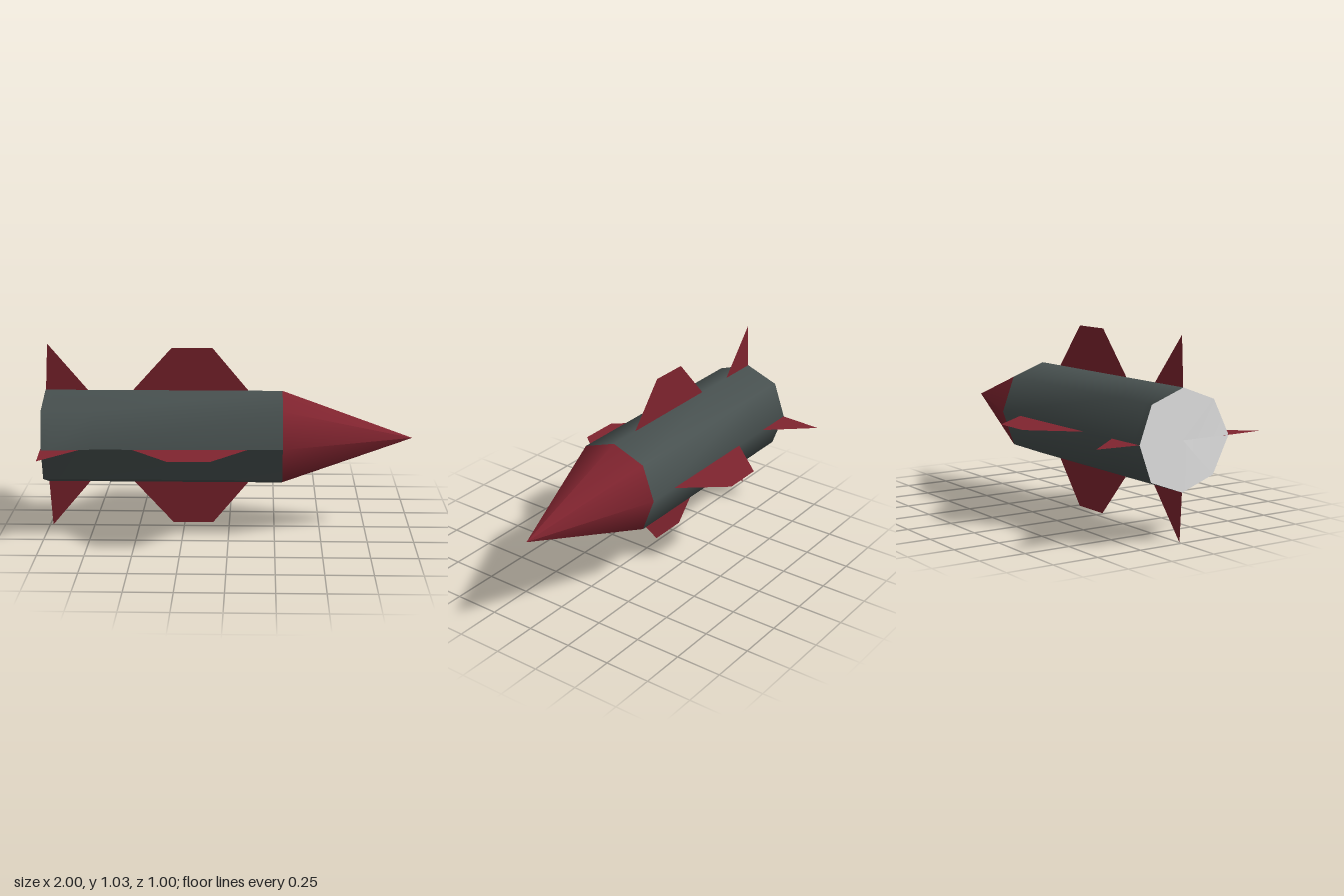
import * as THREE from 'three';

const CENTRE_Y = 0.515;
const R = 0.26;

const grey = new THREE.MeshStandardMaterial({ color: 0x485150 });
grey.name = 'hullGrey';
const red = new THREE.MeshStandardMaterial({ color: 0x80242f });
red.name = 'trimRed';
red.side = THREE.DoubleSide;
const white = new THREE.MeshStandardMaterial({ color: 0xe6e6e6 });
white.name = 'exhaustWhite';

// Eight-sided ring; corner 0 is the top, corner 2 faces +z. bulge pushes corner 2 outwards.
function corner(ring, k) {
  const a = (k * Math.PI) / 4;
  const r = ring.r * (k % 2 ? 1.035 : 1);
  const side = k % 8 === 2;
  return [
    ring.x + (side ? ring.shift || 0 : 0),
    r * Math.cos(a),
    r * Math.sin(a) + (side ? ring.bulge || 0 : 0),
  ];
}

// Smooth skin over rings, from one corner number to another
function loft(rings, from = 0, to = 8) {
  const n = to - from + 1;
  const pos = [];
  const index = [];
  rings.forEach((ring, i) => {
    for (let k = 0; k < n; k++) {
      pos.push(...corner(ring, from + k));
      if (i < rings.length - 1 && k < n - 1) {
        const a = i * n + k;
        if (ring.r > 0) index.push(a, a + 1, a + n);
        if (rings[i + 1].r > 0) index.push(a + 1, a + n + 1, a + n);
      }
    }
  });
  const g = new THREE.BufferGeometry();
  g.setAttribute('position', new THREE.Float32BufferAttribute(pos, 3));
  g.setIndex(index);
  g.computeVertexNormals();
  // Match the normals along the seam of a closed skin
  if (to - from === 8) {
    const nor = g.attributes.normal;
    const v = new THREE.Vector3();
    const w = new THREE.Vector3();
    for (let i = 0; i < rings.length; i++) {
      v.fromBufferAttribute(nor, i * n);
      w.fromBufferAttribute(nor, i * n + 8);
      v.add(w).normalize();
      nor.setXYZ(i * n, v.x, v.y, v.z);
      nor.setXYZ(i * n + 8, v.x, v.y, v.z);
    }
  }
  return g;
}

function add(parent, name, geometry, material) {
  const mesh = new THREE.Mesh(geometry, material);
  mesh.name = name;
  parent.add(mesh);
  return mesh;
}

// Thin flat fin drawn in the xy plane
function finGeometry(points) {
  return new THREE.ShapeGeometry(new THREE.Shape(points.map(([x, y]) => new THREE.Vector2(x, y))));
}

export function createModel() {
  const model = new THREE.Group();
  model.name = 'rocket';
  const rocket = new THREE.Group();
  rocket.name = 'rocketBody';
  rocket.position.y = CENTRE_Y;
  model.add(rocket);

  // Hull: smooth around the top and back, crisp panels low on the +z side
  const tail = { x: -1, r: R, bulge: 0.035, shift: 0.01 };
  const hull = [
    tail,
    { x: -0.95, r: R, bulge: 0.04 },
    { x: -0.72, r: R, bulge: 0.015 },
    { x: 0.29, r: R },
  ];
  add(rocket, 'hull', loft(hull, 4, 10), grey);
  add(rocket, 'sidePanel', loft(hull, 2, 3), grey);
  add(rocket, 'lowerPanel', loft(hull, 3, 4), grey);

  // Nose cone and rear exhaust plate
  add(rocket, 'noseCone', loft([{ x: 0.29, r: R }, { x: 1, r: 0 }]), red);
  add(rocket, 'exhaustPlate', loft([{ x: -1, r: 0 }, tail]), white);

  // Four middle wings and four swept tail fins
  const wing = finGeometry([[-0.55, 0.23], [0.13, 0.23], [-0.09, 0.495], [-0.31, 0.495]]);
  for (let i = 0; i < 4; i++) {
    const tip = i % 2 ? 0.5 : 0.515;
    const fin = finGeometry([[-0.998, 0.25], [-0.76, 0.25], [-0.983, tip]]);
    add(rocket, 'wing' + (i + 1), wing, red).rotation.x = (i * Math.PI) / 2;
    add(rocket, 'tailFin' + (i + 1), fin, red).rotation.x = (i * Math.PI) / 2;
  }
  return model;
}
